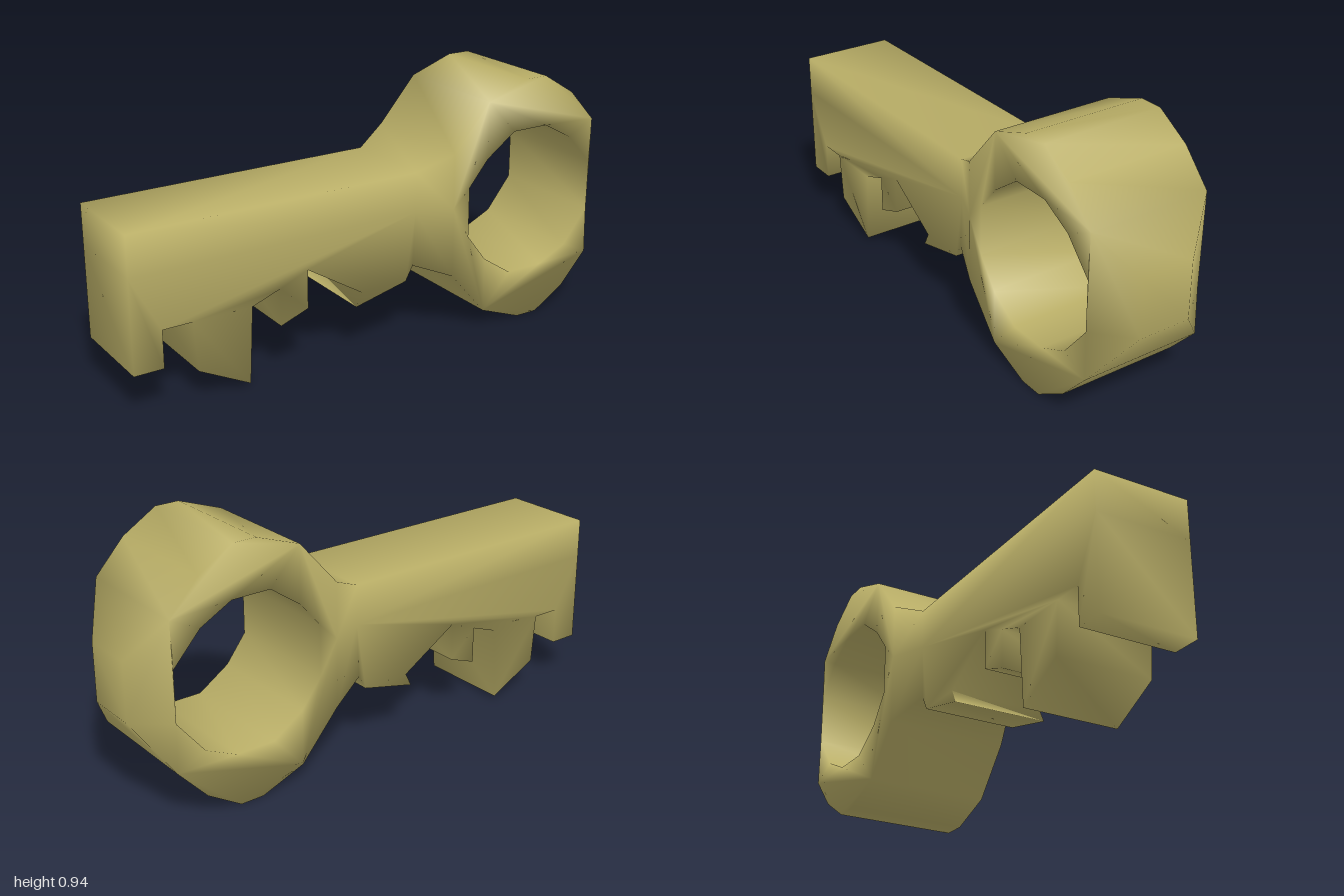
import * as THREE from 'three';

// Side outlines of the key, counter-clockwise, as neighbouring panels [x, y]
const shaftTop = [[-1, .65], [-1, .5], [.12, .5], [.12, .65]];
const bittedBlade = [
  [-1, .5], [-1, .155], [-.89, .155], [-.89, .295], [-.78, .295], [-.765, .11],
  [-.57, .01], [-.555, .295], [-.445, .335], [-.445, .195], [-.335, .235],
  [-.335, .38], [-.11, .24], [-.135, .19], [.08, .24], [.11, .295], [.12, .5],
];
const neckTop = [[.12, .65], [.12, .5], [.25, .5], [.25, .71]];
const neckBottom = [[.12, .5], [.11, .295], [.25, .24], [.25, .5]];
const bowRing = [
  // outer edge
  [.9, .74], [.79, .86], [.66, .94], [.57, .94], [.4, .88], [.25, .71], [.25, .5],
  [.25, .24], [.4, .065], [.57, 0], [.66, 0], [.79, .08], [.9, .2],
  // edge of the hole
  [.895, .38], [.79, .25], [.67, .195], [.52, .195], [.4, .275], [.32, .38],
  [.32, .57], [.4, .665], [.52, .75], [.67, .75], [.79, .685], [.895, .57],
];
const bowTip = [[.9, .74], [.895, .57], [.895, .38], [.9, .2], [1, .36], [1, .58]];

// Half thickness along the key: slim shaft, thick bow, narrow tip
const halfDepth = (x) => (x < .2 ? .18 : x < .95 ? .235 : .1);

// Joins the panels into one closed solid with shared, smooth-shaded vertices
function solidFromPanels(panels) {
  const positions = [], index = [], ids = new Map(), edges = new Map();
  const vertex = ([x, y]) => {
    const key = `${x},${y}`;
    if (!ids.has(key)) {
      ids.set(key, positions.length / 3);
      const d = halfDepth(x);
      positions.push(x, y, d, x, y, -d);
    }
    return ids.get(key);
  };
  for (const panel of panels) {
    const v = panel.map(vertex);
    const points = panel.map(([x, y]) => new THREE.Vector2(x, y));
    // front and back faces
    for (const [a, b, c] of THREE.ShapeUtils.triangulateShape(points, [])) {
      index.push(v[a], v[b], v[c], v[a] + 1, v[c] + 1, v[b] + 1);
    }
    v.forEach((a, i) => {
      const b = v[(i + 1) % v.length];
      edges.set(`${a},${b}`, [a, b]);
    });
  }
  // walls along every edge that belongs to a single panel
  for (const [a, b] of edges.values()) {
    if (!edges.has(`${b},${a}`)) index.push(a, a + 1, b, b, a + 1, b + 1);
  }
  const geometry = new THREE.BufferGeometry();
  geometry.setAttribute('position', new THREE.Float32BufferAttribute(positions, 3));
  geometry.setIndex(index);
  geometry.computeVertexNormals();
  return geometry;
}

export function createModel() {
  const group = new THREE.Group();
  group.name = 'key';
  const brass = new THREE.MeshStandardMaterial({ color: 0xb8ad66 });
  const body = new THREE.Mesh(
    solidFromPanels([shaftTop, bittedBlade, neckTop, neckBottom, bowRing, bowTip]), brass);
  body.name = 'keyBody';
  group.add(body);
  return group;
}
